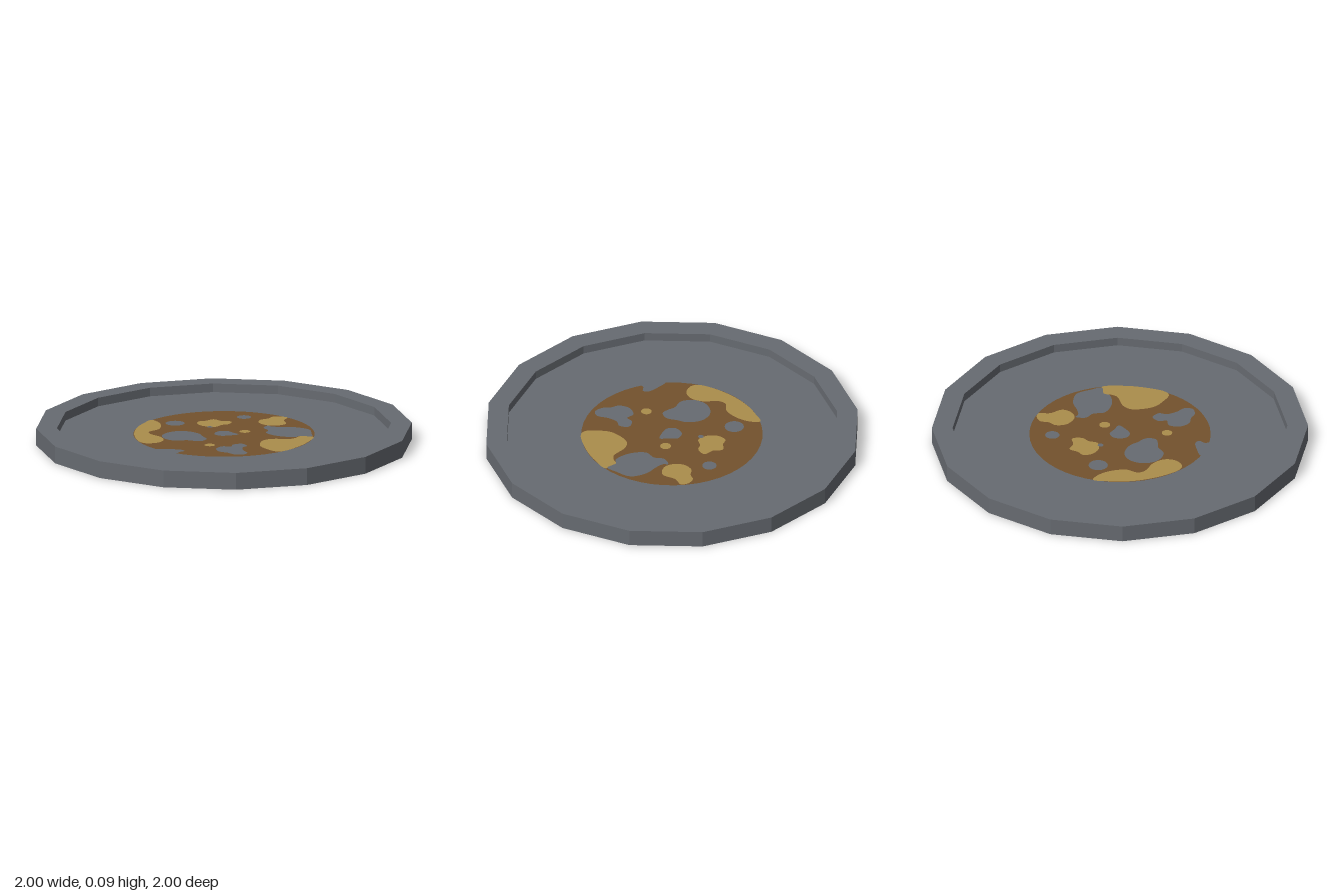
import * as THREE from 'three';

const HEIGHT = 0.092, FLOOR = 0.045, INNER = 0.89, SIDES = 16;

const material = (name, color) => {
  const m = new THREE.MeshStandardMaterial({ color, flatShading: true, side: THREE.DoubleSide });
  m.name = name;
  return m;
};

// Closed smooth outline through a few [x, z] points
function blob(points) {
  const curve = new THREE.CatmullRomCurve3(points.map(([x, z]) => new THREE.Vector3(x, z, 0)), true);
  return new THREE.Shape(curve.getPoints(points.length * 5).slice(0, -1).map(p => new THREE.Vector2(p.x, p.y)));
}

// Round spot
const spot = (x, z, r) => new THREE.Shape().absarc(x, z, r, 0, Math.PI * 2, false);

export function createModel() {
  const model = new THREE.Group();
  model.name = 'stainedPlate';
  const grey = material('slate grey', 0x676b71);
  const brown = material('rust brown', 0x74522d);
  const ochre = material('ochre', 0xab8d4b);

  const add = (parent, name, geometry, mat) => {
    const mesh = new THREE.Mesh(geometry, mat);
    mesh.name = name;
    parent.add(mesh);
    return mesh;
  };

  // Rim: outer wall, flat top and inner wall, open underneath
  const profile = [[1, 0], [1, HEIGHT], [INNER, HEIGHT], [INNER, FLOOR]].map(p => new THREE.Vector2(...p));
  add(model, 'rim', new THREE.LatheGeometry(profile, SIDES), grey);

  // Sunken floor
  const floor = add(model, 'floor', new THREE.CircleGeometry(INNER, SIDES).rotateX(-Math.PI / 2), grey);
  floor.position.y = FLOOR;

  const ochrePatches = [
    blob([[0.17, -0.44], [0.21, -0.43], [0.21, -0.37], [0.245, -0.3], [0.21, -0.25], [0.16, -0.24],
      [0.1, -0.28], [0.09, -0.34], [0.12, -0.38], [0.13, -0.42]]),
    blob([[-0.15, -0.27], [-0.1, -0.25], [-0.045, -0.255], [-0.04, -0.2], [-0.07, -0.17],
      [-0.09, -0.12], [-0.15, -0.115], [-0.2, -0.15], [-0.21, -0.2], [-0.18, -0.225]]),
    blob([[-0.46, -0.15], [-0.41, -0.12], [-0.37, -0.05], [-0.36, 0.03], [-0.39, 0.09], [-0.37, 0.13],
      [-0.3, 0.17], [-0.26, 0.23], [-0.27, 0.29], [-0.32, 0.325], [-0.36, 0.315], [-0.42, 0.23],
      [-0.465, 0.11], [-0.48, 0], [-0.475, -0.07]]),
    blob([[0.4, -0.08], [0.47, -0.09], [0.48, 0], [0.465, 0.12], [0.415, 0.25], [0.38, 0.265],
      [0.33, 0.24], [0.27, 0.19], [0.245, 0.12], [0.245, 0.06], [0.28, 0.02], [0.37, -0.01], [0.39, -0.04]]),
    spot(0.09, -0.08, 0.029),
    spot(0.005, 0.25, 0.028),
  ];

  const barePatches = [
    blob([[0.17, -0.235], [0.16, -0.18], [0.2, -0.14], [0.21, -0.08], [0.29, -0.04], [0.385, -0.05],
      [0.4, -0.08], [0.46, -0.09], [0.44, -0.15], [0.4, -0.225], [0.31, -0.245], [0.24, -0.225], [0.19, -0.22]]),
    blob([[-0.2, 0.02], [-0.12, 0.05], [-0.09, 0.09], [-0.05, 0.14], [-0.06, 0.19], [-0.1, 0.2],
      [-0.14, 0.2], [-0.2, 0.23], [-0.27, 0.2], [-0.3, 0.13], [-0.27, 0.05]]),
    blob([[0.16, 0.175], [0.2, 0.21], [0.19, 0.25], [0.21, 0.3], [0.25, 0.35], [0.24, 0.39], [0.19, 0.4],
      [0.15, 0.38], [0.1, 0.37], [0.065, 0.32], [0.08, 0.26], [0.125, 0.25], [0.12, 0.21]]),
    // Bite out of the stain's edge
    blob([[-0.23, 0.43], [-0.16, 0.405], [-0.1, 0.4], [-0.08, 0.42], [-0.1, 0.45], [-0.1, 0.475], [-0.2, 0.5]]),
    blob([[0, -0.055], [0.04, -0.03], [0.08, -0.005], [0.045, 0.03], [0, 0.053], [-0.04, 0.035],
      [-0.05, 0], [-0.04, -0.035]]),
    spot(-0.01, -0.36, 0.038),
    spot(-0.315, -0.12, 0.051),
    spot(-0.115, -0.105, 0.015),
  ];

  // Stain in thin layers, shown on both faces of the floor
  const layers = [
    ['stain', [spot(0, 0, 0.482)], brown],
    ['ochrePatches', ochrePatches, ochre],
    ['barePatches', barePatches, grey],
  ];
  for (const [side, sign] of [['upper', 1], ['lower', -1]]) {
    const group = new THREE.Group();
    group.name = side + 'Stain';
    layers.forEach(([name, shapes, mat], i) => {
      const geometry = new THREE.ShapeGeometry(shapes, 24).rotateX(Math.PI / 2);
      add(group, name, geometry, mat).position.y = FLOOR + sign * 0.0015 * (i + 1);
    });
    model.add(group);
  }
  return model;
}
